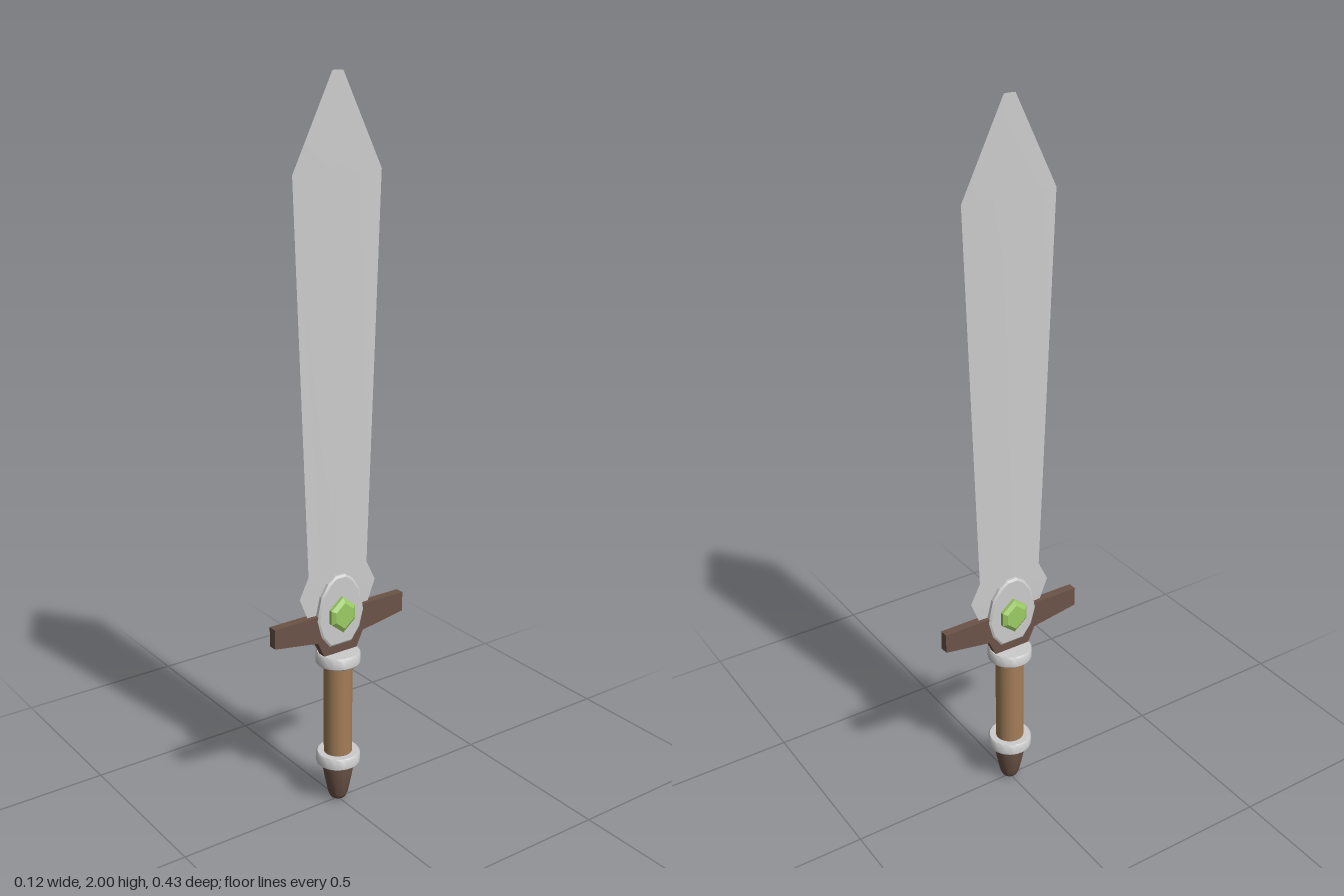
import * as THREE from 'three';
import { toCreasedNormals } from 'three/addons/utils/BufferGeometryUtils.js';

const steel = new THREE.MeshStandardMaterial({ color: 0xcccccc });
const wood = new THREE.MeshStandardMaterial({ color: 0x6b5347 });
const grip = new THREE.MeshStandardMaterial({ color: 0xa47e58 });
const green = new THREE.MeshStandardMaterial({ color: 0x9ccc65 });

// Blade: stacked six-sided sections [y, half width, half thickness]
function bladeGeometry(rows) {
  const section = [[1, 0.15], [0, 1], [-1, 0.15], [-1, -0.15], [0, -1], [1, -0.15]];
  const n = section.length;
  const pos = [];
  const index = [];
  for (const [y, w, t] of rows) {
    for (const [x, z] of section) pos.push(x * t, y, z * w);
  }
  for (let r = 0; r < rows.length - 1; r++) {
    for (let i = 0; i < n; i++) {
      const a = r * n + i;
      const b = r * n + (i + 1) % n;
      index.push(a, a + n, b + n, a, b + n, b);
    }
  }
  const top = (rows.length - 1) * n;
  for (let i = 1; i < n - 1; i++) {
    index.push(0, i, i + 1, top, top + i + 1, top + i);
  }
  const g = new THREE.BufferGeometry();
  g.setAttribute('position', new THREE.Float32BufferAttribute(pos, 3));
  g.setIndex(index);
  return toCreasedNormals(g, 0.3);
}

// Plate lying in the z-y plane; outline is the +z half, from top to bottom
function plateGeometry(half, thickness, bevel = 0, inset = bevel) {
  const mirrored = half.filter(([z]) => z > 0).map(([z, y]) => [-z, y]).reverse();
  const shape = new THREE.Shape([...half, ...mirrored].map(([z, y]) => new THREE.Vector2(z, y)));
  const depth = thickness - 2 * bevel;
  const g = new THREE.ExtrudeGeometry(shape, {
    depth, bevelEnabled: bevel > 0, bevelThickness: bevel,
    bevelSize: inset, bevelOffset: -inset, bevelSegments: 1,
  });
  g.translate(0, 0, -depth / 2);
  g.rotateY(Math.PI / 2);
  return toCreasedNormals(g, 0.3);
}

// Turned part: profile of [radius, y] from bottom to top
function turned(profile) {
  const points = profile.map(([r, y]) => new THREE.Vector2(r, y));
  return toCreasedNormals(new THREE.LatheGeometry(points, 32), 0.7);
}

export function createModel() {
  const sword = new THREE.Group();
  sword.name = 'sword';
  const add = (name, geometry, material) => {
    const mesh = new THREE.Mesh(geometry, material);
    mesh.name = name;
    sword.add(mesh);
  };

  add('blade', bladeGeometry([
    [0.56, 0.09, 0.005], [0.59, 0.102, 0.005], [0.647, 0.125, 0.005],
    [0.705, 0.096, 0.005], [1.76, 0.135, 0.005], [2.0, 0.016, 0.001],
  ]), steel);

  add('crossguard', plateGeometry([
    [0.213, 0.588], [0.213, 0.532], [0.075, 0.51], [0.053, 0.462],
  ], 0.025), wood);

  add('guardPlate', plateGeometry([
    [0.016, 0.692], [0.04, 0.675], [0.062, 0.642], [0.077, 0.575], [0.064, 0.525], [0.036, 0.488],
  ], 0.032, 0.004, 0.006), steel);

  // One gem passes through the plate and shows on both faces
  add('gem', plateGeometry([
    [0, 0.632], [0.039, 0.6], [0.039, 0.56], [0, 0.528],
  ], 0.067, 0.008, 0.011), green);

  // Grip with a collar at each end
  add('grip', new THREE.CylinderGeometry(0.04, 0.04, 0.3, 32).translate(0, 0.29, 0), grip);
  for (const [name, y] of [['lowerCollar', 0.12], ['upperCollar', 0.43]]) {
    add(name, turned([
      [0, y], [0.058, y], [0.062, y + 0.004], [0.062, y + 0.03], [0.058, y + 0.035], [0, y + 0.035],
    ]), steel);
  }

  add('pommel', turned([
    [0, 0], [0.012, 0.002], [0.022, 0.009], [0.028, 0.022], [0.038, 0.07], [0.044, 0.105], [0.045, 0.125],
  ]), wood);

  return sword;
}
